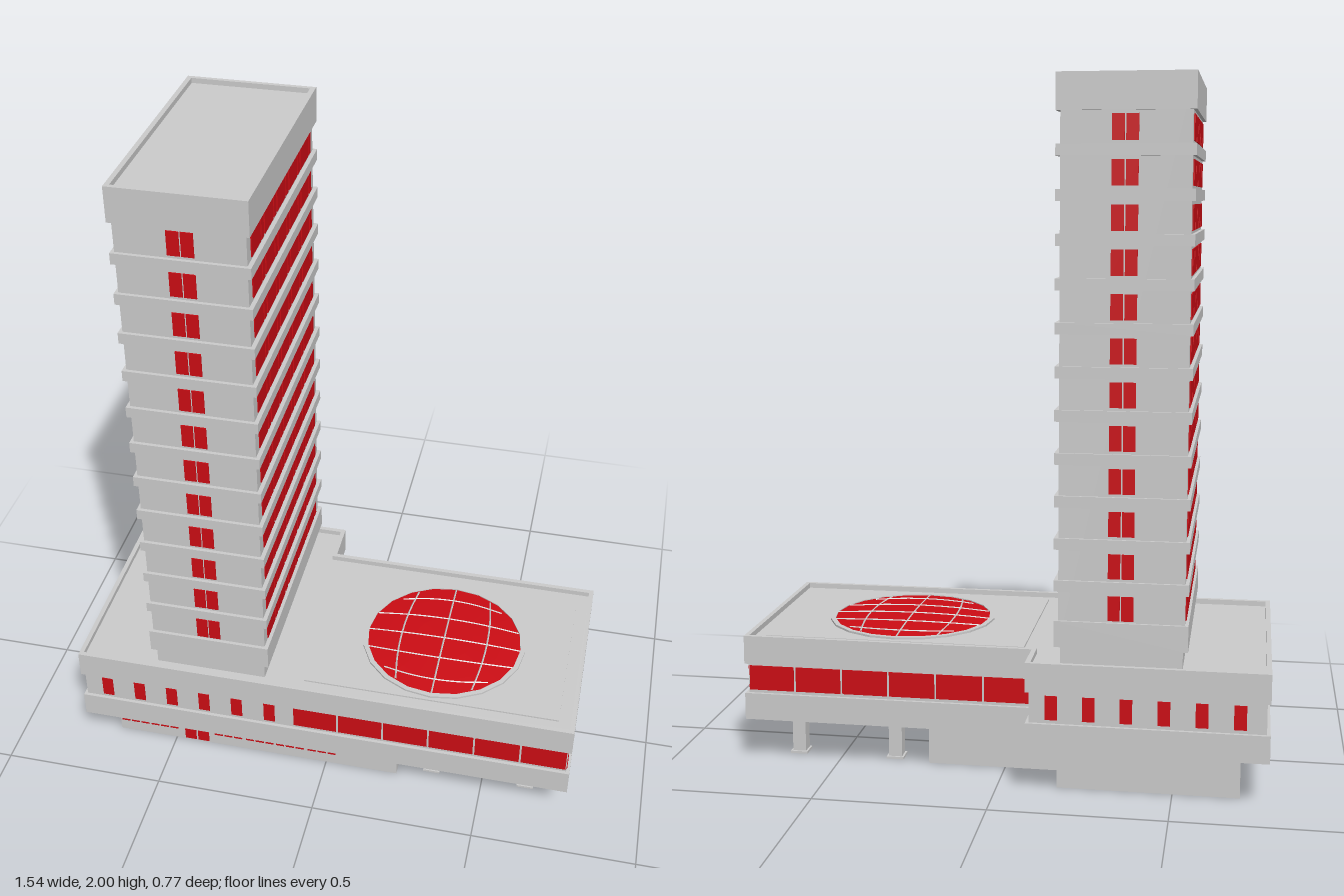
import * as THREE from 'three';
import { mergeGeometries } from 'three/addons/utils/BufferGeometryUtils.js';

const grey = new THREE.MeshStandardMaterial({ color: 0xcccccc, flatShading: true });
const red = new THREE.MeshStandardMaterial({ color: 0xcc0c14, flatShading: true, side: THREE.DoubleSide });

// Box from its limits
function box(x0, x1, y0, y1, z0, z1) {
  const g = new THREE.BoxGeometry(x1 - x0, y1 - y0, z1 - z0);
  return g.translate((x0 + x1) / 2, (y0 + y1) / 2, (z0 + z1) / 2);
}

// Footprints as [x, z] corners
const lPlan = (i, xEnd = 0.77 - i) => [
  [-0.77 + i, 0.385 - i], [xEnd, 0.385 - i], [xEnd, -0.26 + i],
  [-0.09 - i, -0.26 + i], [-0.09 - i, -0.39 + i], [-0.77 + i, -0.39 + i],
];
const rectPlan = (x0, x1, z0, z1) => [[x0, z1], [x1, z1], [x1, z0], [x0, z0]];

// Upright extrusion of a footprint, with an optional hole
function slab(plan, y0, y1, hole) {
  const pts = (p) => p.map(([x, z]) => new THREE.Vector2(x, -z));
  const shape = new THREE.Shape(pts(plan));
  if (hole) shape.holes.push(new THREE.Path(pts(hole)));
  const g = new THREE.ExtrudeGeometry(shape, { depth: y1 - y0, bevelEnabled: false });
  return g.rotateX(-Math.PI / 2).translate(0, y0, 0);
}

// Panes lying in a wall that faces z or x
const T = 0.007;
const paneZ = (z, x0, x1, y0, y1) => box(x0, x1, y0, y1, z - T, z + T);
const paneX = (x, z0, z1, y0, y1) => box(x - T, x + T, y0, y1, z0, z1);

// Row of n equal panes between a and b
function row(make, wall, a, b, n, y0, y1, gap = 0.006) {
  const w = (b - a + gap) / n;
  return Array.from({ length: n }, (_, i) => make(wall, a + i * w, a + (i + 1) * w - gap, y0, y1));
}

export function createModel() {
  const model = new THREE.Group();
  const add = (name, geos, mat = grey, parent = model) => {
    const mesh = new THREE.Mesh(geos.length > 1 ? mergeGeometries(geos) : geos[0], mat);
    mesh.name = name;
    parent.add(mesh);
    return mesh;
  };

  // Ground floor: hollow walls
  const ground = lPlan(0.08, 0.23);
  add('groundFloorWalls', [slab(ground, 0, 0.14, lPlan(0.09, 0.22))]);
  const gw = [];
  for (const x of [-0.685, -0.585, -0.37, -0.265, -0.165, -0.06])
    gw.push(...row(paneZ, 0.3, x, x + 0.092, 3, 0.04, 0.095));
  gw.push(...row(paneZ, 0.3, -0.47, -0.39, 2, 0.005, 0.1));
  for (const z of [0.1, 0.2]) gw.push(...row(paneX, -0.685, z, z + 0.09, 3, 0.04, 0.095));
  gw.push(...row(paneX, 0.225, 0, 0.13, 2, 0.003, 0.12));
  for (const [a, b, y0, y1] of [[0.187, 0.228, 0.025, 0.095], [0.145, 0.18, 0.025, 0.118],
    [-0.053, -0.015, 0.025, 0.118], [-0.095, -0.058, 0.025, 0.095]])
    gw.push(paneX(0.225, a, b, y0, y1));
  add('groundFloorWindows', gw, red);

  // Pillars with small feet under the overhang
  for (const x of [0.338, 0.637]) for (const z of [0.25, -0.14]) {
    add('pillar', [
      box(x - 0.02, x + 0.02, 0, 0.14, z - 0.02, z + 0.02),
      box(x - 0.026, x + 0.026, 0, 0.007, z - 0.026, z + 0.026),
    ]);
  }

  // Podium: underside open above the ground floor, two bands, recessed wall, roof
  add('podiumUnderside', [slab(lPlan(0.005), 0.135, 0.145, ground)]);
  add('podiumLowerBand', [slab(lPlan(0), 0.135, 0.215, lPlan(0.02))]);
  add('podiumWall', [slab(lPlan(0.01), 0.21, 0.31, lPlan(0.02))]);
  add('podiumUpperBand', [slab(lPlan(0), 0.305, 0.39, lPlan(0.014))]);
  add('podiumRoof', [slab(lPlan(0.01), 0.36, 0.374)]);
  add('roofTerrace', [box(-0.06, 0.72, 0.37, 0.379, -0.205, 0.33)]);

  const pw = [];
  for (const z of [0.37, -0.375])
    for (let i = 0; i < 6; i++) pw.push(paneZ(z, -0.705 + i * 0.105, -0.67 + i * 0.105, 0.225, 0.295));
  for (const z of [0.37, -0.245]) pw.push(...row(paneZ, z, -0.085, 0.757, 6, 0.224, 0.298));
  pw.push(...row(paneX, 0.755, -0.245, 0.373, 4, 0.224, 0.298));
  add('podiumWindows', pw, red);

  // Skylight: shallow faceted dome, rim and glazing bars
  const skylight = new THREE.Group();
  skylight.name = 'skylight';
  skylight.position.set(0.33, 0.379, 0.065);
  model.add(skylight);
  const R = 0.243;
  const height = (r) => 0.003 + 0.009 * (1 - (r / R) ** 2);
  const profile = [R, 0.18, 0.09, 0].map((r) => new THREE.Vector2(r, height(r)));
  add('skylightGlass', [new THREE.LatheGeometry(profile, 20)], red, skylight);
  const rim = [[R - 0.002, 0], [0.256, 0], [0.256, 0.006], [R - 0.002, 0.006], [R - 0.002, 0]];
  add('skylightRim', [new THREE.LatheGeometry(rim.map((p) => new THREE.Vector2(...p)), 20)], grey, skylight);
  const bars = [];
  const bar = (offset, alongX) => {
    const half = Math.sqrt(R * R - offset * offset);
    const pts = [-1, -0.5, 0, 0.5, 1].map((t) => {
      const s = t * half;
      // bars bow outwards slightly, like lines on a globe
      const o = offset * (1 - 0.13 * t * t);
      const y = height(Math.hypot(s, o));
      return alongX ? new THREE.Vector3(s, y, o) : new THREE.Vector3(o, y, s);
    });
    bars.push(new THREE.TubeGeometry(new THREE.CatmullRomCurve3(pts), 12, 0.0028, 4));
  };
  for (const o of [-0.135, 0, 0.135]) bar(o, false);
  for (const o of [-0.182, -0.09, 0, 0.09, 0.182]) bar(o, true);
  add('skylightBars', bars, grey, skylight);

  // Tower: body, floor bands and roof parapet
  const [x0, x1, z0, z1] = [-0.53, -0.178, -0.35, 0.342];
  const tower = new THREE.Group();
  tower.name = 'tower';
  model.add(tower);
  const outer = rectPlan(x0 - 0.01, x1 + 0.012, z0 - 0.008, z1 + 0.01);
  add('towerNeck', [box(x0 + 0.005, x1 - 0.004, 0.37, 0.44, -0.335, z1 - 0.002)], grey, tower);
  add('towerBody', [box(x0, x1, 0.432, 1.985, z0, z1)], grey, tower);
  add('towerBaseBand', [slab(outer, 0.43, 0.505)], grey, tower);
  add('roofParapet', [slab(outer, 1.9, 2, rectPlan(x0 + 0.004, x1 - 0.003, z0 + 0.005, z1 - 0.003))], grey, tower);

  const pitch = 0.1192, tw = [], bands = [];
  for (let f = 0; f < 12; f++) {
    const y = 0.51 + f * pitch;
    if (f < 11) bands.push(slab(outer, y + 0.079, y + 0.111));
    // Long sides: five groups of one wide and one narrow pane
    for (const x of [x0 + 0.004, x1 - 0.004]) for (let i = 0; i < 5; i++) {
      const z = 0.308 - i * 0.1272;
      tw.push(paneX(x, z - 0.085, z, y, y + 0.07), paneX(x, z - 0.117, z - 0.093, y, y + 0.07));
    }
    // Narrow ends: one pair of panes
    for (const z of [z0 + 0.004, z1 - 0.004]) tw.push(...row(paneZ, z, -0.388, -0.316, 2, y, y + 0.07, 0.004));
  }
  add('floorBands', bands, grey, tower);
  add('towerWindows', tw, red, tower);
  return model;
}
